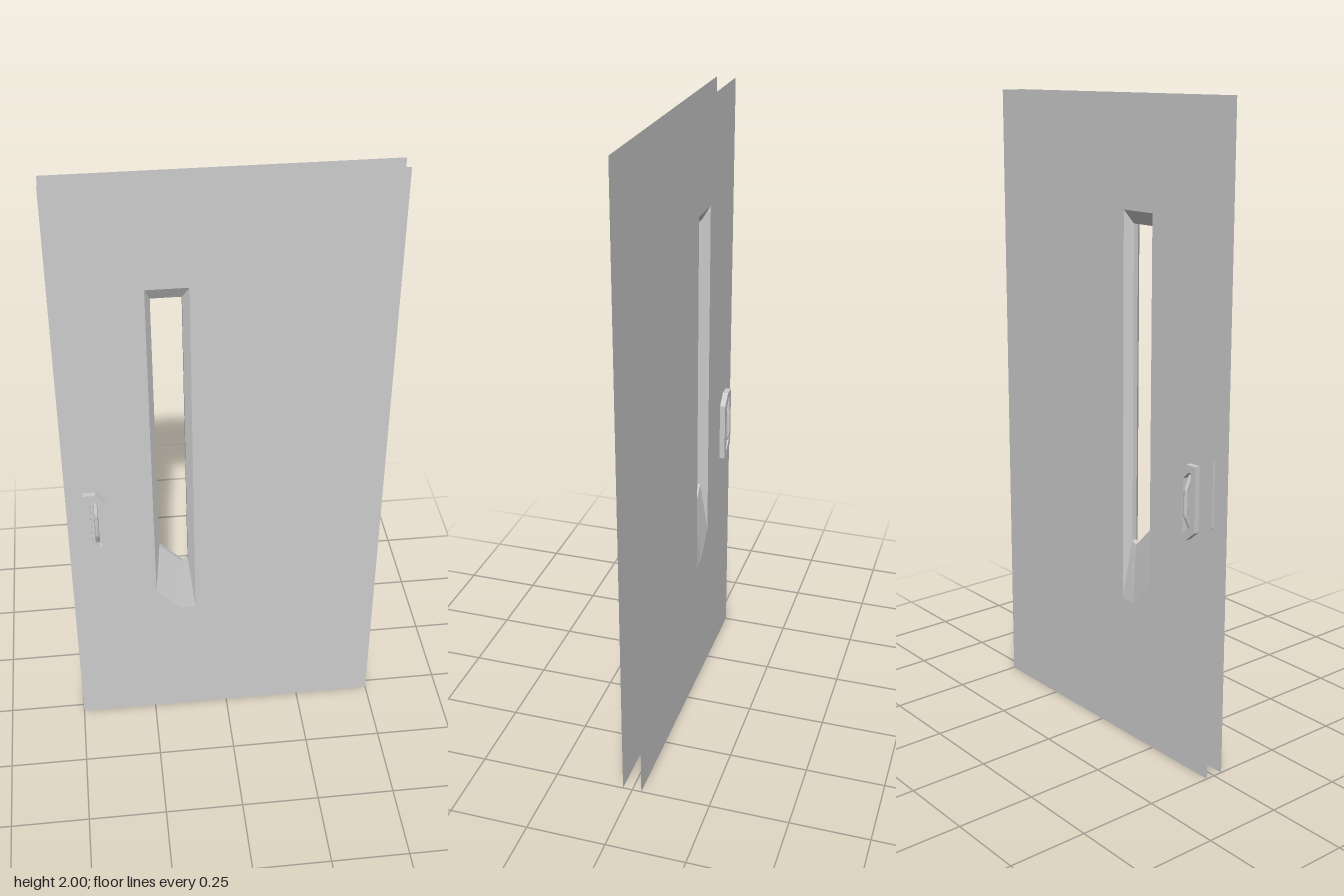
import * as THREE from 'three';

const solid = new THREE.MeshStandardMaterial({ color: 0xcccccc, flatShading: true });
const thin = new THREE.MeshStandardMaterial({ color: 0xcccccc, flatShading: true, side: THREE.DoubleSide });

const points = (list) => list.map(([x, y]) => new THREE.Vector2(x, y));

// Window outline at the door faces, and the smaller one at mid depth
const outer = [[-0.23, 0.54], [-0.153, 0.456], [-0.103, 0.46], [-0.103, 1.67], [-0.23, 1.67]];
const inner = [[-0.214, 0.715], [-0.14, 0.64], [-0.123, 0.65], [-0.123, 1.63], [-0.214, 1.63]];
const PANEL_Z = 0.03;
const PANE_Z = 0.008;

function add(group, name, geometry, material) {
  const mesh = new THREE.Mesh(geometry, material);
  mesh.name = name;
  group.add(mesh);
  return mesh;
}

// Skin of quads through equal-length outlines, each at its own depth
function loft(rings) {
  const position = [];
  for (let r = 0; r < rings.length - 1; r++) {
    const a = rings[r], b = rings[r + 1], n = a.outline.length;
    for (let i = 0; i < n; i++) {
      const j = (i + 1) % n;
      const p = [...a.outline[i], a.z], q = [...a.outline[j], a.z];
      const s = [...b.outline[i], b.z], t = [...b.outline[j], b.z];
      position.push(...p, ...s, ...q, ...q, ...s, ...t);
    }
  }
  const geometry = new THREE.BufferGeometry();
  geometry.setAttribute('position', new THREE.Float32BufferAttribute(position, 3));
  geometry.computeVertexNormals();
  return geometry;
}

// Chamfered handle plate with a slot and a bent grip inside it
function createHandle(side) {
  const handle = new THREE.Group();
  const plate = new THREE.Shape(points([
    [-0.445, 0.77], [-0.41, 0.74], [-0.372, 0.74], [-0.372, 0.935], [-0.407, 0.97], [-0.445, 0.97],
  ]));
  plate.holes.push(new THREE.Path(points([
    [-0.426, 0.95], [-0.415, 0.945], [-0.394, 0.925], [-0.394, 0.762], [-0.404, 0.765], [-0.426, 0.785],
  ])));
  const depth = 0.028;
  const body = add(handle, 'handlePlate',
    new THREE.ExtrudeGeometry(plate, { depth, bevelEnabled: false }), solid);
  body.position.z = side > 0 ? 0.02 : -0.02 - depth;

  const grip = new THREE.CurvePath();
  const path = [[0.935, 0.03], [0.895, 0.049], [0.815, 0.049], [0.775, 0.03]]
    .map(([y, z]) => new THREE.Vector3(-0.409, y, side * z));
  for (let i = 0; i < path.length - 1; i++) grip.add(new THREE.LineCurve3(path[i], path[i + 1]));
  add(handle, 'handleGrip', new THREE.TubeGeometry(grip, 24, 0.0065, 8), solid);
  return handle;
}

export function createModel() {
  const door = new THREE.Group();
  door.name = 'door';

  // Thin door faces, open around the edges
  const face = new THREE.Shape(points([[-0.5, 0], [0.5, 0], [0.5, 2], [-0.5, 2]]));
  face.holes.push(new THREE.Path(points([...outer].reverse())));
  for (const side of [1, -1]) {
    const label = side > 0 ? 'front' : 'back';
    const panel = add(door, label + 'Panel', new THREE.ShapeGeometry(face), thin);
    panel.position.z = side * PANEL_Z;
    const handle = createHandle(side);
    handle.name = label + 'Handle';
    door.add(handle);
  }

  // Sloped reveal narrowing from both faces to the middle of the door
  add(door, 'windowReveal', loft([
    { outline: outer, z: PANEL_Z },
    { outline: inner, z: PANE_Z },
    { outline: inner, z: -PANE_Z },
    { outline: outer, z: -PANEL_Z },
  ]), thin);

  return door;
}
